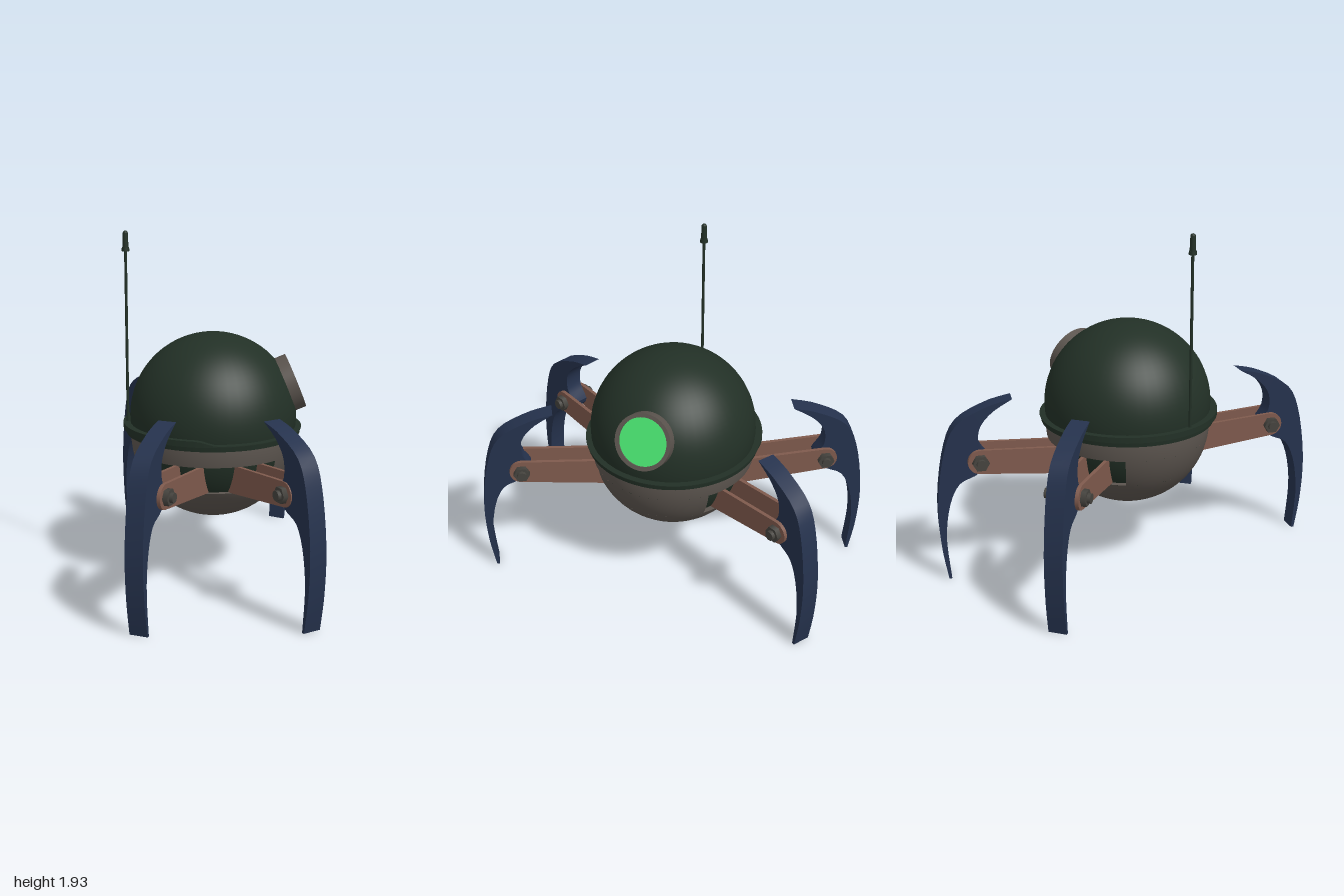
import * as THREE from 'three';
import { toCreasedNormals } from 'three/addons/utils/BufferGeometryUtils.js';

const mat = (name, color, side = THREE.FrontSide) => {
  const m = new THREE.MeshStandardMaterial({ color, side });
  m.name = name;
  return m;
};
const rad = THREE.MathUtils.degToRad;

export function createModel() {
  const darkGreen = mat('dark green', 0x223026);
  const grey = mat('warm grey', 0x5b544e, THREE.DoubleSide);
  const navy = mat('navy', 0x25324d);
  const copper = mat('copper brown', 0x7f5a4d);
  const steel = mat('dark steel', 0x45433e);
  const lens = mat('lens green', 0x4ae471);

  const model = new THREE.Group();
  model.name = 'walkerRobot';
  const add = (parent, name, geo, material, x = 0, y = 0, z = 0) => {
    const m = new THREE.Mesh(geo, material);
    m.name = name;
    m.position.set(x, y, z);
    parent.add(m);
    return m;
  };

  // Upper dome
  const body = new THREE.Group();
  body.name = 'body';
  body.position.x = -0.005;
  model.add(body);
  add(body, 'dome', new THREE.SphereGeometry(0.46, 48, 24, 0, Math.PI * 2, 0, rad(97)), darkGreen, 0, 0.91);

  // Lower bowl with a slot at the front and the back
  const bowl = (name, p0, pl, t0, t1, n) => add(body, name,
    new THREE.SphereGeometry(0.455, Math.ceil(pl / 7.5), n, rad(p0), rad(pl), rad(t0), rad(t1 - t0)), grey, 0, 0.8);
  bowl('bowlUpperBand', 0, 360, 85, 99.5, 3);
  bowl('bowlBottom', 0, 360, 121.1, 180, 12);
  bowl('bowlSideLeft', 134, 92, 99.5, 121.1, 5);
  bowl('bowlSideRight', -46, 92, 99.5, 121.1, 5);
  add(body, 'slotLining', new THREE.SphereGeometry(0.428, 48, 8, 0, Math.PI * 2, rad(92), rad(36)), darkGreen, 0, 0.8);
  const ledge = new THREE.RingGeometry(0.35, 0.389, 48);
  ledge.rotateX(-Math.PI / 2);
  add(body, 'slotLedge', ledge, grey, 0, 0.565);

  // Rim: a low ring all round and a raised ring that steps down towards +x
  add(body, 'lowerRim', new THREE.CylinderGeometry(0.485, 0.48, 0.03, 64), darkGreen, 0, 0.835);
  const raised = new THREE.CylinderGeometry(0.497, 0.497, 0.032, 96);
  const p = raised.attributes.position;
  for (let i = 0; i < p.count; i++) {
    const k = THREE.MathUtils.smoothstep(p.getX(i), -0.13, 0.0);
    const s = 1 - 0.018 * k;
    p.setXYZ(i, p.getX(i) * s, p.getY(i) > 0 ? 0.016 - 0.028 * k : p.getY(i), p.getZ(i) * s);
  }
  add(body, 'raisedRim', raised, darkGreen, 0, 0.864);

  // Antenna
  const antenna = new THREE.Group();
  antenna.name = 'antenna';
  antenna.position.set(-0.477, 0, 0);
  model.add(antenna);
  add(antenna, 'antennaRod', new THREE.CylinderGeometry(0.008, 0.008, 0.98, 10), darkGreen, 0, 1.35);
  add(antenna, 'antennaCollar', new THREE.CylinderGeometry(0.02, 0.022, 0.02, 14), darkGreen, 0, 1.83);
  add(antenna, 'antennaTip', new THREE.CylinderGeometry(0.014, 0.017, 0.08, 14), darkGreen, 0, 1.877);
  add(antenna, 'antennaCap', new THREE.SphereGeometry(0.014, 14, 6, 0, Math.PI * 2, 0, Math.PI / 2), darkGreen, 0, 1.916);

  // Eye on the left side, facing outwards and a little up
  const eye = new THREE.Group();
  eye.name = 'eye';
  const facing = new THREE.Vector3(0.927, 0.374, 0).normalize();
  eye.quaternion.setFromUnitVectors(new THREE.Vector3(0, 0, 1), facing);
  eye.position.set(0.452, 1.096, 0).addScaledVector(facing, -0.13);
  model.add(eye);
  const ring = new THREE.Shape().absarc(0, 0, 0.156, 0, Math.PI * 2);
  ring.holes.push(new THREE.Path().absarc(0, 0, 0.134, 0, Math.PI * 2, true));
  add(eye, 'eyeHousing', toCreasedNormals(
    new THREE.ExtrudeGeometry(ring, { depth: 0.13, bevelEnabled: false, curveSegments: 32 }), 0.6), grey);
  add(eye, 'eyeLens', new THREE.CircleGeometry(0.136, 40), lens, 0, 0, 0.118);

  // Side profiles (distance outwards, height) become slabs across local x
  const slab = (shape, width, curveSegments) => {
    const g = new THREE.ExtrudeGeometry(shape, { depth: width, bevelEnabled: false, curveSegments });
    g.translate(0, 0, -width / 2);
    g.rotateY(-Math.PI / 2);
    return toCreasedNormals(g, 0.45);
  };
  const pivotR = 0.878, pivotY = 0.686, spread = 28;
  const v = ([z, y]) => new THREE.Vector2(z / Math.cos(rad(spread)) - pivotR, y);

  // Claw: outer curve down to the foot, inner curve back up round the pivot
  const outer = [[0.73, 0.988], [0.876, 0.895], [0.94, 0.73], [0.975, 0.45], [0.967, 0.2], [0.938, 0]];
  const inner = [[0.941, 0.24], [0.92, 0.43], [0.87, 0.555], [0.785, 0.605], [0.725, 0.68],
    [0.769, 0.77], [0.765, 0.87], [0.705, 0.955], [0.608, 1.024]];
  const tip = v([0.608, 1.024]), foot = v([0.924, 0]);
  const clawShape = new THREE.Shape().moveTo(tip.x, tip.y);
  clawShape.splineThru(outer.map(v));
  clawShape.lineTo(foot.x, foot.y);
  clawShape.splineThru(inner.map(v));
  const clawGeo = slab(clawShape, 0.1, 3);

  // Arm plate with a rounded outer end
  const armShape = new THREE.Shape().moveTo(0.34, 0.56);
  armShape.lineTo(pivotR, pivotY - 0.067);
  armShape.absarc(pivotR, pivotY, 0.067, -Math.PI / 2, Math.PI / 2);
  armShape.lineTo(0.34, 0.718);
  const armGeo = slab(armShape, 0.02, 6);

  const across = (r, h, n) => new THREE.CylinderGeometry(r, r, h, n).rotateZ(Math.PI / 2);
  const hexGeo = across(0.046, 0.03, 6);
  const nubGeo = across(0.027, 0.02, 14);
  const axleGeo = across(0.025, 0.15, 12);

  // Four legs: name, side, heading, claw sideways offset and claw twist
  const legs = [
    ['frontLeftLeg', 1, spread, -0.02, 0.5],
    ['frontRightLeg', -1, -spread, 0, 2],
    ['backLeftLeg', 1, 180 - spread, 0, -6],
    ['backRightLeg', -1, 180 + spread, 0, -1],
  ];
  for (const [name, side, heading, offset, twist] of legs) {
    const leg = new THREE.Group();
    leg.name = name;
    leg.position.x = -0.05 * side;
    leg.rotation.y = rad(heading);
    model.add(leg);
    add(leg, 'claw', clawGeo, navy, offset, 0, pivotR).rotation.y = rad(twist);
    add(leg, 'axle', axleGeo, steel, 0, pivotY, pivotR);
    for (const s of [-1, 1]) {
      add(leg, 'armPlate', armGeo, copper, s * 0.066, 0, 0);
      add(leg, 'boltHead', hexGeo, steel, s * 0.09, pivotY, pivotR);
      add(leg, 'boltNub', nubGeo, steel, s * 0.114, pivotY, pivotR);
    }
  }
  return model;
}
